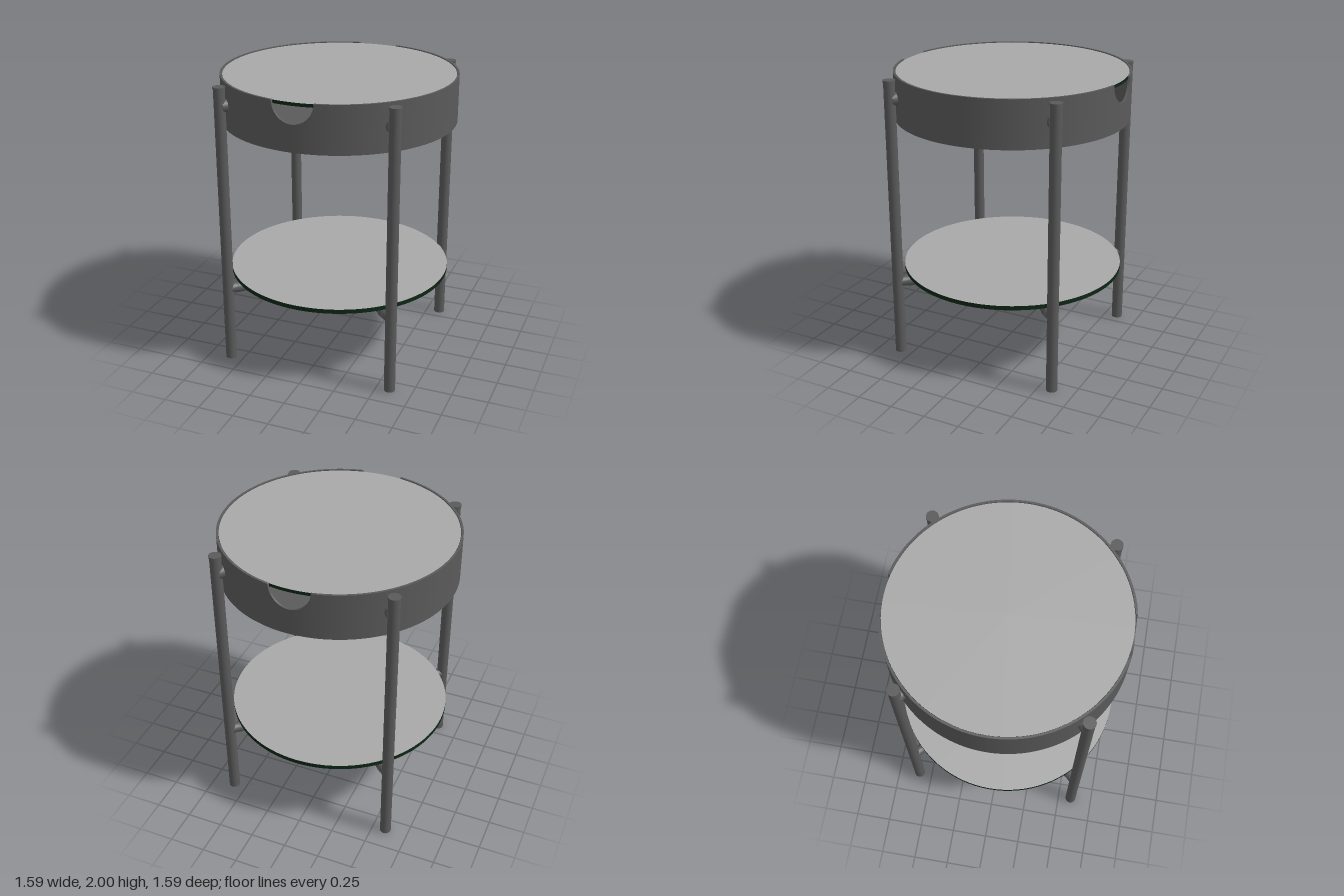
import * as THREE from 'three';

const material = (name, color) => {
  const m = new THREE.MeshStandardMaterial({ color });
  m.name = name;
  return m;
};

export function createModel() {
  const metal = material('dark grey metal', 0x5a5a5a);
  const glass = material('grey glass', 0xa8a8a8);
  const glassEdge = material('dark green glass edge', 0x0d2616);

  const table = new THREE.Group();
  table.name = 'roundSideTable';

  const add = (name, geometry, mat, parent = table) => {
    const mesh = new THREE.Mesh(geometry, mat);
    mesh.name = name;
    parent.add(mesh);
    return mesh;
  };

  // Upright cylinder between two heights
  const disc = (name, r, y0, y1, mat, sides = 96, parent = table) => {
    const mesh = add(name, new THREE.CylinderGeometry(r, r, y1 - y0, sides), mat, parent);
    mesh.position.y = (y0 + y1) / 2;
    return mesh;
  };

  // Cylinder lying along z, between two distances from the centre
  const rod = (name, r, z0, z1, y, parent) => {
    const geometry = new THREE.CylinderGeometry(r, r, z1 - z0, 24).rotateX(Math.PI / 2);
    const mesh = add(name, geometry, metal, parent);
    mesh.position.set(0, y, (z0 + z1) / 2);
  };

  // Half of the drum wall: a strip bent round the axis, with a round notch in its rim
  const outer = 0.795, inner = 0.78, notch = 0.14, bottom = 1.68, top = 2;
  const side = 32, mid = 32, columns = 2 * side + mid;
  const edgeAngle = Math.asin(notch / outer);
  const column = (i) => {
    const j = i - columns / 2, k = Math.abs(j);
    if (k <= mid / 2) { // close columns across the notch
      const phi = (j / mid) * Math.PI;
      return [Math.asin((notch * Math.sin(phi)) / outer), top - notch * Math.cos(phi)];
    }
    const t = (k - mid / 2) / side;
    return [Math.sign(j) * (edgeAngle + t * (Math.PI / 2 - edgeAngle)), top];
  };
  const wall = new THREE.BoxGeometry(columns, 1, 1, columns, 1, 1);
  const p = wall.attributes.position;
  for (let i = 0; i < p.count; i++) {
    const [angle, rim] = column(Math.round(p.getX(i) + columns / 2));
    const r = p.getZ(i) > 0 ? outer : inner;
    p.setXYZ(i, r * Math.sin(angle), p.getY(i) > 0 ? rim : bottom, r * Math.cos(angle));
  }
  wall.setIndex(Array.from(wall.index.array).slice(12)); // drop the two hidden ends
  wall.clearGroups();
  wall.computeVertexNormals();
  add('drumWallFront', wall, metal);
  add('drumWallBack', wall, metal).rotation.y = Math.PI;
  disc('drumFloor', inner + 0.005, bottom, bottom + 0.015, metal);

  // Glass table top and lower shelf: grey faces, dark green edge
  const plate = [glassEdge, glass, glass];
  disc('glassTop', 0.778, 1.973, 1.995, plate);
  disc('glassShelf', 0.768, 0.578, 0.608, plate);

  // Four diagonal legs, each with cap, drum spacer and shelf bar collar
  const reach = 0.839;
  for (let i = 0; i < 4; i++) {
    const corner = new THREE.Group();
    corner.name = 'legAssembly';
    corner.rotation.y = Math.PI / 4 + (i * Math.PI) / 2;
    table.add(corner);
    disc('leg', 0.038, 0, 1.965, metal, 32, corner).position.z = reach;
    disc('legCap', 0.041, 1.965, 1.98, metal, 32, corner).position.z = reach;
    rod('drumSpacer', 0.043, 0.785, 0.83, 1.85, corner);
    rod('barCollar', 0.039, 0.715, 0.775, 0.54, corner);
    if (i < 2) rod('crossBar', 0.035, -reach, reach, 0.54, corner);
  }

  return table;
}
